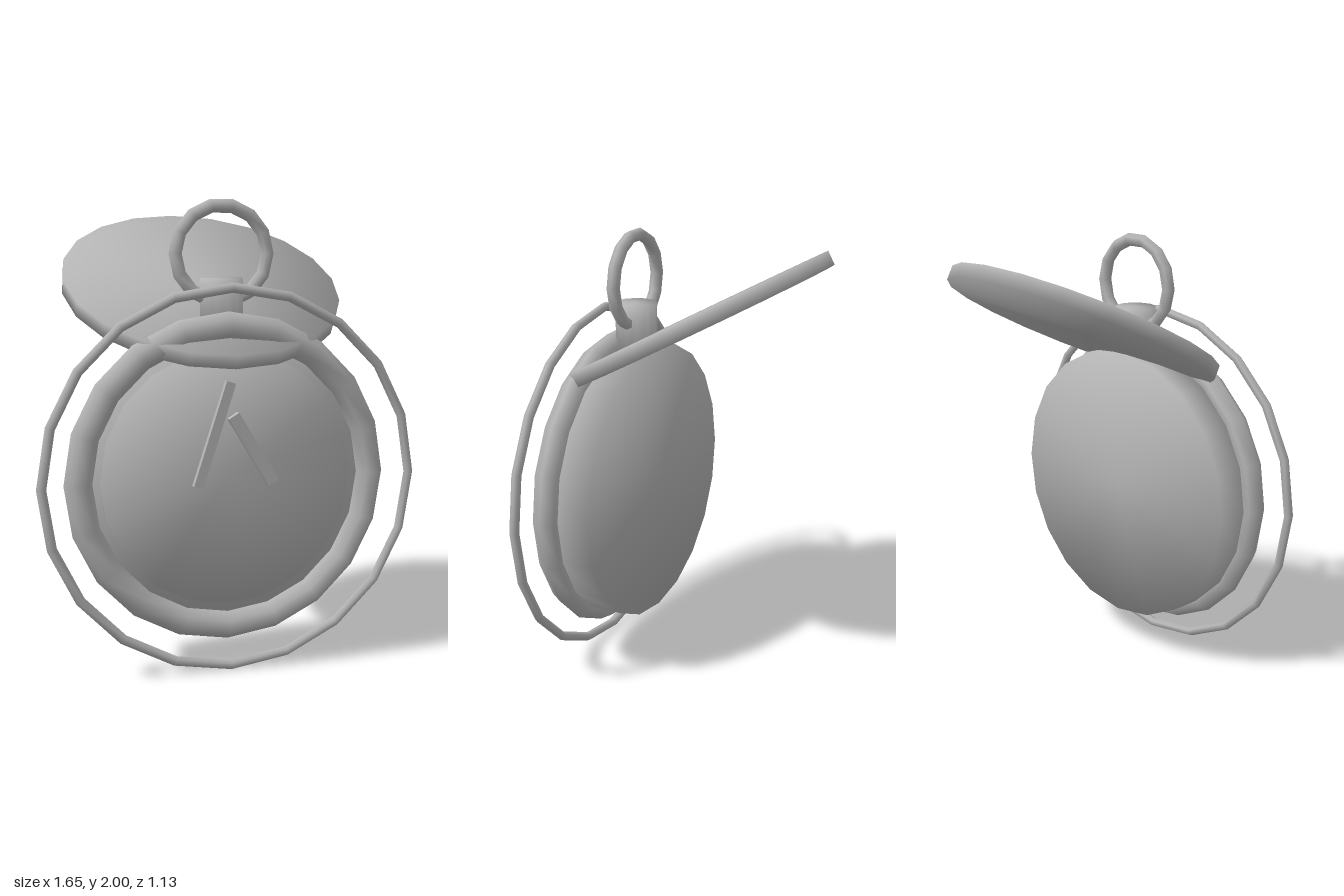
import * as THREE from 'three';
import { mergeVertices } from 'three/addons/utils/BufferGeometryUtils.js';

const metal = new THREE.MeshStandardMaterial({ color: 0xb3b3b3 });
metal.name = 'greyMetal';

// Cylinder whose normals blend softly across its rims
function softDisc(radius, height, sides) {
  const raw = new THREE.CylinderGeometry(radius, radius, height, sides);
  raw.deleteAttribute('uv');
  raw.deleteAttribute('normal');
  const geo = mergeVertices(raw, 1e-4);
  const p = geo.attributes.position;
  const normals = new Float32Array(p.count * 3);
  const n = new THREE.Vector3();
  for (let i = 0; i < p.count; i++) {
    n.set(p.getX(i) / radius, Math.sign(p.getY(i)), p.getZ(i) / radius).normalize();
    n.toArray(normals, i * 3);
  }
  geo.setAttribute('normal', new THREE.BufferAttribute(normals, 3));
  return geo;
}

export function createModel() {
  const group = new THREE.Group();
  group.name = 'pocketWatch';
  const CY = 0.834; // height of the watch centre

  function add(name, geometry, x, y, z, rx = 0, rz = 0) {
    const mesh = new THREE.Mesh(geometry, metal);
    mesh.name = name;
    mesh.position.set(x, y, z);
    mesh.rotation.set(rx, 0, rz);
    group.add(mesh);
    return mesh;
  }

  // Case and dial, both facing +z
  add('caseBody', softDisc(0.643, 0.17, 20), 0, CY, 0.315, Math.PI / 2);
  add('dial', softDisc(0.552, 0.06, 20), 0, CY, 0.4, Math.PI / 2);

  // Rings: [name, ring radius, tube radius, sides around, y, z]
  const rings = [
    ['bezel', 0.645, 0.06, 20, CY, 0.43],
    ['outerRing', 0.805, 0.021, 20, CY, 0.49],
    ['bow', 0.203, 0.029, 14, 1.777, 0.325],
  ];
  for (const [name, radius, tube, sides, y, z] of rings) {
    add(name, new THREE.TorusGeometry(radius, tube, 6, sides), 0, y, z);
  }

  // Winding stem
  add('stem', softDisc(0.094, 0.26, 12), 0, 1.545, 0.325);

  // Open lid, tilted up towards the back
  add('lid', softDisc(0.625, 0.066, 20), 0, 1.632, 0, 0.494);

  // Hands
  add('minuteHand', new THREE.BoxGeometry(0.042, 0.465, 0.03), -0.071, 1.025, 0.46, 0, -0.313);
  add('hourHand', new THREE.BoxGeometry(0.052, 0.343, 0.03), 0.103, 0.957, 0.455, 0, 0.55);

  return group;
}
